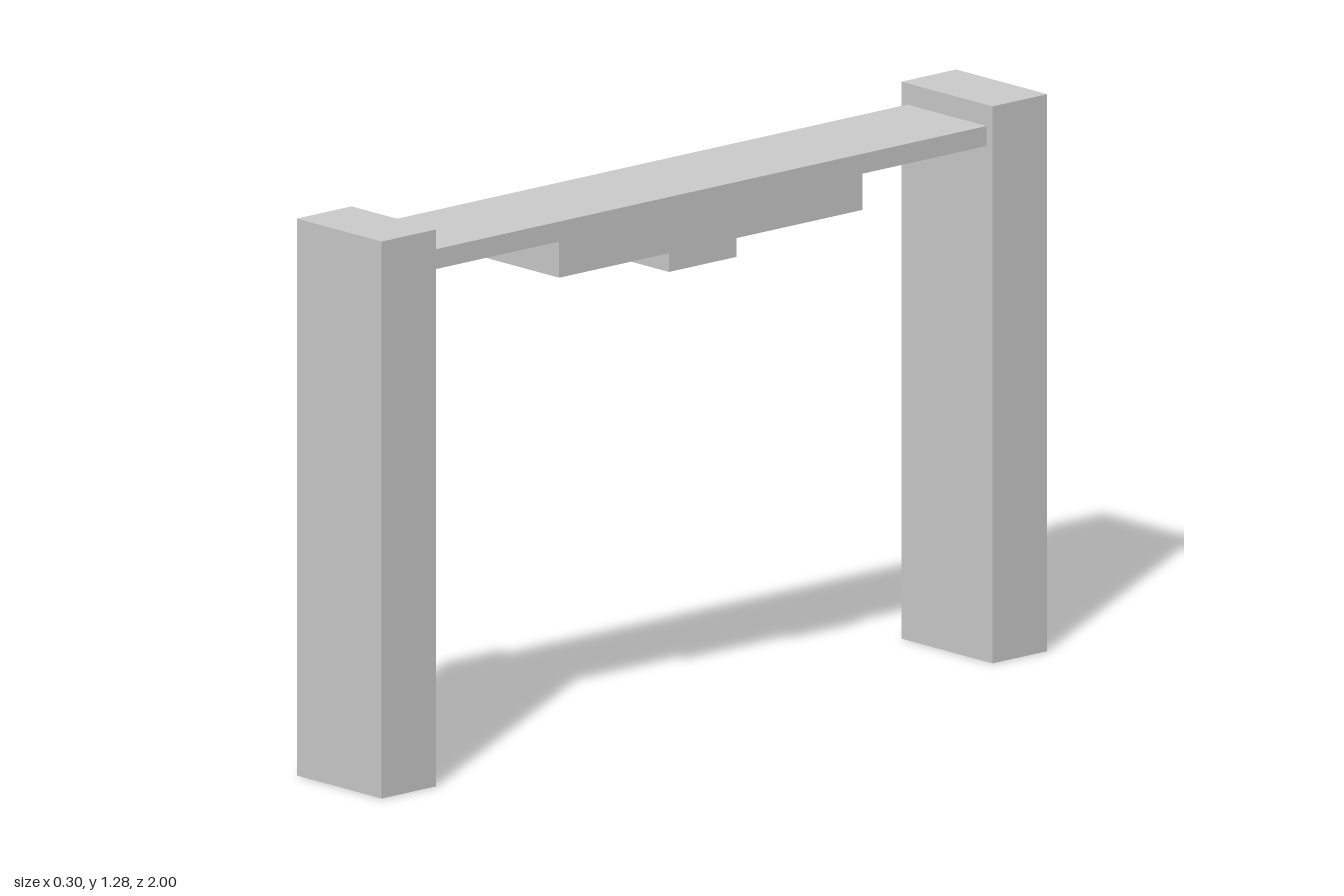
import * as THREE from 'three';

export function createModel() {
  const model = new THREE.Group();
  const material = new THREE.MeshStandardMaterial({ color: 0xcccccc, flatShading: true });

  // Box given by its extents along each axis
  function addBox(name, [x0, x1], [y0, y1], [z0, z1]) {
    const mesh = new THREE.Mesh(new THREE.BoxGeometry(x1 - x0, y1 - y0, z1 - z0), material);
    mesh.position.set((x0 + x1) / 2, (y0 + y1) / 2, (z0 + z1) / 2);
    mesh.name = name;
    model.add(mesh);
  }

  // Posts, the back one slightly wider
  addBox('frontPost', [-0.142, 0.14], [0, 1.285], [0.835, 1]);
  addBox('backPost', [-0.153, 0.15], [0, 1.285], [-1, -0.835]);

  // Beam between the posts
  addBox('beam', [-0.133, 0.13], [1.19, 1.236], [-0.835, 0.835]);

  // Stepped housing hanging under the beam
  addBox('housing', [-0.125, 0.117], [1.102, 1.19], [-0.472, 0.443]);
  addBox('lowerHousing', [-0.123, 0.115], [1.058, 1.102], [-0.094, 0.11]);

  // Faceted lens tapering downwards
  const lensGeometry = new THREE.CylinderGeometry(Math.SQRT2, 0.4 * Math.SQRT2, 1, 4);
  lensGeometry.rotateY(Math.PI / 4);
  lensGeometry.scale(0.085, 0.023, 0.055);
  const lens = new THREE.Mesh(lensGeometry, material);
  lens.position.set(-0.004, 1.0465, 0.007);
  lens.name = 'lens';
  model.add(lens);

  return model;
}
